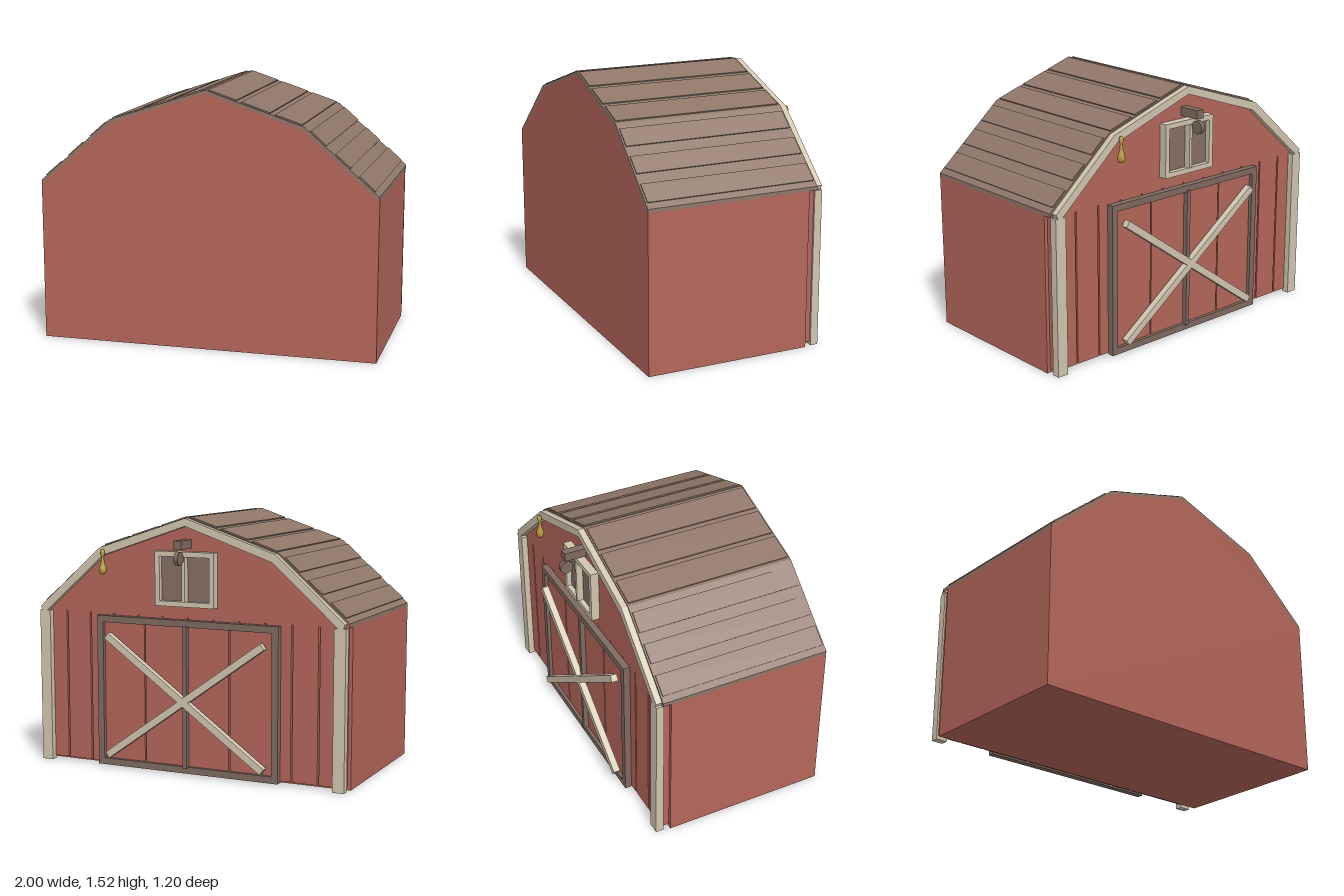
import * as THREE from 'three';

const mat = (name, color) => {
  const m = new THREE.MeshStandardMaterial({ color });
  m.name = name;
  return m;
};

export function createModel() {
  const red = mat('barn red', 0xb4665a);
  const brown = mat('roof brown', 0x8f7769);
  const cream = mat('cream trim', 0xd0c6ae);
  const timber = mat('dark timber', 0x7f6a60);
  const pane = mat('shutter brown', 0x856e65);
  const gold = mat('brass', 0xb59a3c);

  const barn = new THREE.Group();
  barn.name = 'barn';

  const add = (name, geometry, material) => {
    const mesh = new THREE.Mesh(geometry, material);
    mesh.name = name;
    barn.add(mesh);
    return mesh;
  };
  // box given by its limits on each axis
  const box = (name, material, [x0, x1], [y0, y1], [z0, z1]) => {
    const mesh = add(name, new THREE.BoxGeometry(x1 - x0, y1 - y0, z1 - z0), material);
    mesh.position.set((x0 + x1) / 2, (y0 + y1) / 2, (z0 + z1) / 2);
    return mesh;
  };
  // polygon in xy, extruded between two z values
  const prism = (name, material, points, z0, z1) => {
    const shape = new THREE.Shape(points.map(p => new THREE.Vector2(...p)));
    const g = new THREE.ExtrudeGeometry(shape, { depth: z1 - z0, bevelEnabled: false });
    return add(name, g.translate(0, 0, z0), material);
  };
  // bar between two xy points, centred on the line
  const bar = (name, material, a, b, width, z0, z1) => {
    const dx = b[0] - a[0], dy = b[1] - a[1];
    const mesh = add(name, new THREE.BoxGeometry(Math.hypot(dx, dy), width, z1 - z0), material);
    mesh.position.set((a[0] + b[0]) / 2, (a[1] + b[1]) / 2, (z0 + z1) / 2);
    mesh.rotation.z = Math.atan2(dy, dx);
    return mesh;
  };
  // symmetric outline from right eave over the ridge to left eave
  const gambrel = (eave, knee, ridge) =>
    [eave, knee, [0, ridge], [-knee[0], knee[1]], [-eave[0], eave[1]]];

  // main body and gable wall
  const under = gambrel([1, 0.935], [0.565, 1.312], 1.5);
  prism('body', red, [[-1, 0], [1, 0], ...under], -0.39, 0.6);
  prism('gableWall', red, gambrel([0.985, 0.93], [0.56, 1.31], 1.495), -0.44, -0.39);

  // vertical wall planks with narrow gaps
  const pitch = 0.164;
  for (let i = 0; i < 12; i++) {
    const x = (i - 6) * pitch;
    box('wallPlank', red, [x + 0.005, x + pitch - 0.005], [0.02, 0.93], [-0.44, -0.39]);
  }

  // roof shell
  const over = gambrel([1, 0.957], [0.572, 1.33], 1.518);
  prism('roof', brown, [...over, ...[...under].reverse()], -0.44, 0.6);

  // raised roof boards, three per slope
  const lerp = (a, b, t) => [a[0] + (b[0] - a[0]) * t, a[1] + (b[1] - a[1]) * t];
  const slopes = [
    [over[0], over[1], [[0.07, 0.28], [0.4, 0.6], [0.72, 0.93]]],
    [over[1], over[2], [[0.03, 0.3], [0.35, 0.64], [0.69, 0.97]]],
  ];
  for (const [low, high, spans] of slopes) {
    for (const [s, t] of spans) {
      for (const side of [-1, 1]) {
        const a = lerp(low, high, s), b = lerp(low, high, t);
        bar('roofBoard', brown, [a[0] * side, a[1]], [b[0] * side, b[1]], 0.014, -0.43, 0.59);
      }
    }
  }

  // cream rake trim and corner posts
  const rakeOut = gambrel([0.985, 0.955], [0.567, 1.325], 1.513);
  const rakeIn = gambrel([0.965, 0.91], [0.545, 1.28], 1.467);
  prism('rakeTrim', cream, [...rakeOut, ...rakeIn.reverse()], -0.477, -0.44);
  for (const side of [-1, 1]) {
    const post = box('cornerPost', cream, [-0.035, 0.035], [0, 0.93], [-0.477, -0.43]);
    post.position.x = side * 0.955;
  }

  // door planks, frame and cross braces
  for (let i = 0; i < 4; i++) {
    const x = (i - 2) * 0.275;
    box('doorPlank', red, [x + 0.004, x + 0.271], [0.04, 0.89], [-0.46, -0.44]);
  }
  for (const side of [-1, 1]) {
    const stile = box('doorStile', timber, [-0.02, 0.02], [0.01, 0.92], [-0.48, -0.44]);
    stile.position.x = side * 0.568;
    bar('doorBrace', cream, [-0.505 * side, 0.08], [0.505 * side, 0.805], 0.042, -0.52, -0.48);
  }
  box('doorTopRail', timber, [-0.55, 0.55], [0.88, 0.92], [-0.48, -0.44]);
  box('doorBottomRail', timber, [-0.55, 0.55], [0.01, 0.05], [-0.48, -0.44]);
  box('doorCentreBar', timber, [-0.013, 0.013], [0.04, 0.89], [-0.49, -0.45]);

  // loft window
  box('loftPane', pane, [-0.17, 0.17], [1.02, 1.3], [-0.46, -0.44]);
  for (const side of [-1, 1]) {
    const jamb = box('loftJamb', cream, [-0.015, 0.015], [1, 1.32], [-0.49, -0.44]);
    jamb.position.x = side * 0.175;
    const rail = box('loftRail', cream, [-0.16, 0.16], [-0.015, 0.015], [-0.49, -0.44]);
    rail.position.y = 1.16 + side * 0.145;
  }
  box('loftMullion', cream, [-0.01, 0.01], [1.03, 1.29], [-0.5, -0.45]);

  // hoist beam and pulley
  box('hoistBeam', timber, [-0.025, 0.025], [1.338, 1.39], [-0.572, -0.44]);
  const pulley = add('pulley', new THREE.CylinderGeometry(0.04, 0.04, 0.026, 12), timber);
  pulley.rotation.z = Math.PI / 2;
  pulley.position.set(0, 1.287, -0.558);

  // brass bell
  const profile = [[0, 0], [0.016, 0], [0.024, 0.02], [0.021, 0.04], [0.011, 0.07],
    [0.008, 0.105], [0.014, 0.125], [0.01, 0.145], [0, 0.15]];
  const bell = add('bell',
    new THREE.LatheGeometry(profile.map(p => new THREE.Vector2(...p)), 12), gold);
  bell.position.set(0.535, 1.17, -0.497);

  return barn;
}
